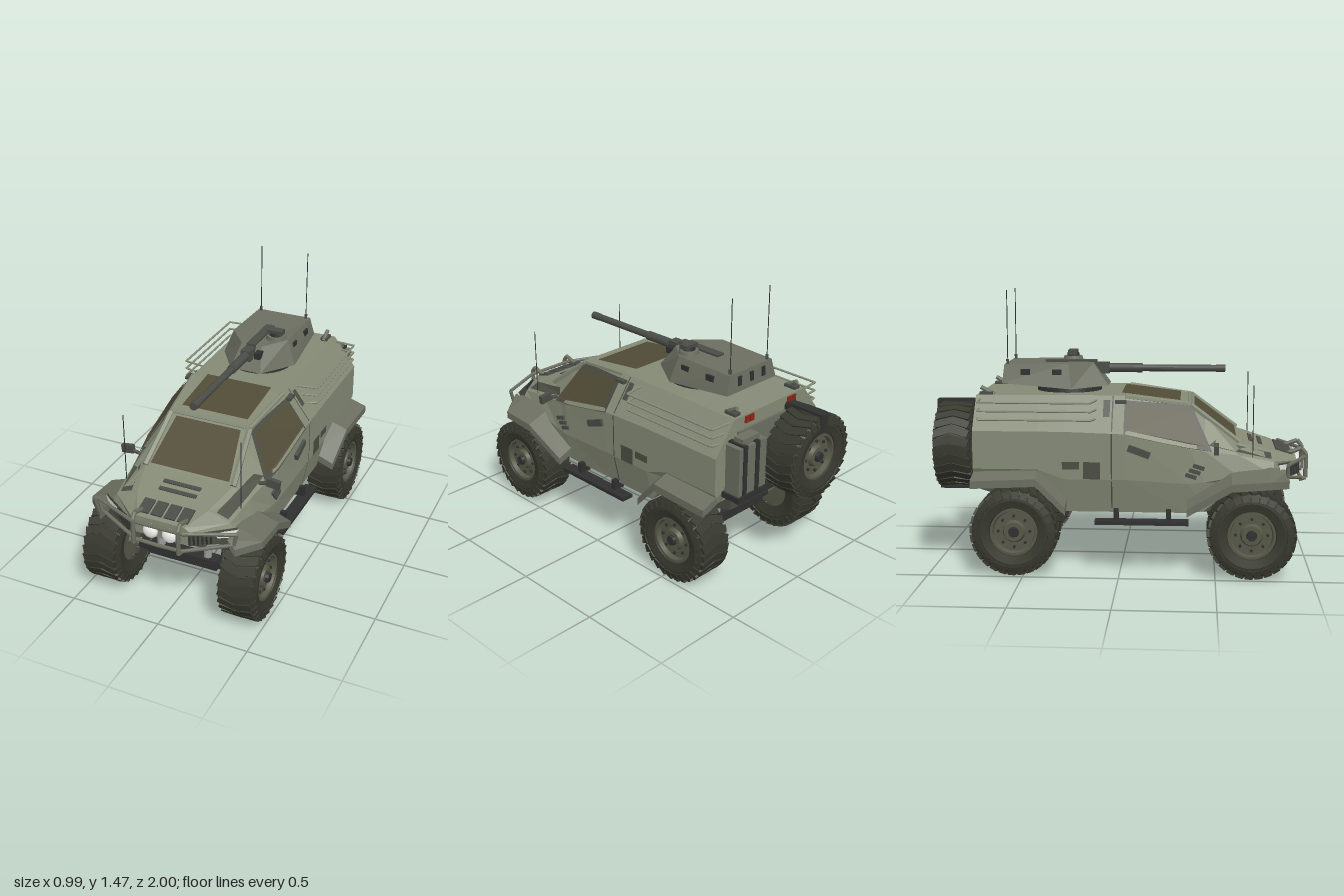
import * as THREE from 'three';

const mat = (color, side = THREE.FrontSide) => new THREE.MeshStandardMaterial({ color, side, flatShading: true });
const olive = mat(0x858a76), oliveDark = mat(0x6b6e60), steel = mat(0x4a4c47), black = mat(0x2f302f), belly = mat(0x4c4e44);
const rubber = mat(0x37382e), rimMat = mat(0x565848), silver = mat(0x9a9c98), white = mat(0xf0f0ec), red = mat(0x8c2416);
const glass = mat(0x514c37, THREE.DoubleSide), dark = mat(0x4b4d43, THREE.DoubleSide), pale = mat(0xe4e8dc, THREE.DoubleSide);

const add = (parent, name, geo, material, x = 0, y = 0, z = 0) => {
  const m = new THREE.Mesh(geo, material);
  m.name = name;
  m.position.set(x, y, z);
  parent.add(m);
  return m;
};
const box = (p, name, m, w, h, d, x, y, z) => add(p, name, new THREE.BoxGeometry(w, h, d), m, x, y, z);

// Straight rod between two points
function rod(p, name, m, a, b, r, sides = 10) {
  const A = new THREE.Vector3(...a), B = new THREE.Vector3(...b), dir = B.clone().sub(A);
  const mesh = add(p, name, new THREE.CylinderGeometry(r, r, dir.length(), sides), m);
  mesh.position.copy(A).lerp(B, 0.5);
  mesh.quaternion.setFromUnitVectors(new THREE.Vector3(0, 1, 0), dir.normalize());
}
// Chain of rods through a list of points
const chain = (p, name, m, pts, r) => pts.slice(1).forEach((b, i) => rod(p, name, m, pts[i], b, r, 8));

function soup(tris) {
  const g = new THREE.BufferGeometry();
  g.setAttribute('position', new THREE.Float32BufferAttribute(tris.flat(), 3));
  g.computeVertexNormals();
  return g;
}
// Skin through cross-sections with flat end caps
function loft(rings) {
  const t = [], n = rings[0].length, last = rings[rings.length - 1];
  for (let i = 0; i < rings.length - 1; i++) {
    for (let j = 0; j < n; j++) {
      const k = (j + 1) % n, a = rings[i][j], b = rings[i][k], c = rings[i + 1][k], d = rings[i + 1][j];
      t.push(a, b, c, a, c, d);
    }
  }
  for (let j = 1; j < n - 1; j++) t.push(last[0], last[j], last[j + 1], rings[0][0], rings[0][j + 1], rings[0][j]);
  return soup(t);
}
// Flat convex plate
const plate = (p, name, m, pts) => {
  const t = [];
  for (let j = 1; j < pts.length - 1; j++) t.push(pts[0], pts[j], pts[j + 1]);
  return add(p, name, soup(t), m);
};

// Hull sections: z, then sill, waist, shoulder and roof edge as x, y
const SECTIONS = [
  [-0.77, 0.37, 0.50, 0.40, 0.55, 0.40, 0.75, 0.27, 0.92],
  [-0.43, 0.37, 0.50, 0.40, 0.55, 0.40, 0.75, 0.27, 0.925],
  [-0.29, 0.36, 0.32, 0.40, 0.50, 0.40, 0.75, 0.27, 0.925],
  [0.03, 0.36, 0.32, 0.40, 0.50, 0.40, 0.74, 0.265, 0.925],
  [0.36, 0.36, 0.32, 0.39, 0.48, 0.385, 0.665, 0.225, 0.88],
  [0.44, 0.36, 0.33, 0.385, 0.49, 0.37, 0.65, 0.235, 0.818],
  [0.62, 0.34, 0.48, 0.37, 0.52, 0.34, 0.625, 0.25, 0.68],
  [0.80, 0.33, 0.49, 0.36, 0.53, 0.32, 0.59, 0.20, 0.63],
  [0.93, 0.14, 0.49, 0.15, 0.52, 0.16, 0.57, 0.13, 0.59],
];
function sectionAt(z) {
  let i = 0;
  while (i < SECTIONS.length - 2 && z > SECTIONS[i + 1][0]) i++;
  const a = SECTIONS[i], b = SECTIONS[i + 1], t = (z - a[0]) / (b[0] - a[0]);
  return a.map((v, k) => v + (b[k] - v) * t);
}
function hullX(z, y) {
  const s = sectionAt(z);
  let k = 1;
  while (k < 5 && y > s[k + 3]) k += 2;
  return s[k] + (s[k + 2] - s[k]) * (y - s[k + 1]) / (s[k + 3] - s[k + 1]);
}
const sidePlate = (p, name, m, pts, off = 0.006) => plate(p, name, m, pts.map(([z, y]) => [hullX(z, y) + off, y + off * 0.5, z]));
const topPlate = (p, name, m, pts, off = 0.006) => plate(p, name, m, pts.map(([x, z]) => [x, sectionAt(z)[8] + off, z]));

// Wheel with its axis along x, outer face to +x
function wheel(name) {
  const g = new THREE.Group();
  g.name = name;
  const spin = (geo) => geo.rotateZ(-Math.PI / 2);
  const lathe = (pts, n = 48) => spin(new THREE.LatheGeometry(pts.map((q) => new THREE.Vector2(...q)), n));
  add(g, 'tyre', lathe([[0.11, -0.085], [0.17, -0.1], [0.205, -0.095], [0.222, -0.075], [0.224, 0], [0.222, 0.075], [0.205, 0.095],
    [0.17, 0.1], [0.128, 0.09], [0.122, 0.06]]), rubber);
  add(g, 'rim', lathe([[0, -0.06], [0.12, -0.06], [0.124, 0.085], [0.112, 0.085], [0.106, 0.06], [0.06, 0.06], [0.05, 0.08], [0, 0.08]]), rimMat);
  add(g, 'hub', spin(new THREE.CylinderGeometry(0.025, 0.03, 0.025, 12)), black, 0.085);
  for (let i = 0; i < 8; i++) {
    const a = i * Math.PI / 4;
    add(g, 'wheelBolt', spin(new THREE.CylinderGeometry(0.008, 0.008, 0.012, 6)), black, 0.065, 0.083 * Math.cos(a), 0.083 * Math.sin(a));
  }
  // Shallow chevron tread and shoulder lugs
  for (let i = 0; i < 28; i++) {
    const turn = new THREE.Group();
    turn.name = 'treadRow';
    turn.rotation.x = i * Math.PI * 2 / 28;
    for (const s of [-1, 1]) {
      box(turn, 'treadLug', rubber, 0.098, 0.012, 0.04, s * 0.044, 0.223, 0).rotation.y = s * 0.3;
      box(turn, 'shoulderLug', rubber, 0.008, 0.035, 0.036, s * 0.096, 0.198, -0.014).rotation.z = s * 0.3;
    }
    g.add(turn);
  }
  return g;
}

// Everything that appears on both sides, built for +x
function sideParts() {
  const g = new THREE.Group();
  const fender = (path) => loft(path.map(([z, y, x = 0.485]) => [[x, y - 0.04, z], [x, y, z], [0.34, y + 0.05, z], [0.34, y + 0.01, z]]));
  add(g, 'frontFender', fender([[0.35, 0.36, 0.46], [0.58, 0.5], [0.78, 0.515], [0.88, 0.5, 0.38]]), oliveDark);
  add(g, 'rearFender', fender([[-0.77, 0.5], [-0.43, 0.515], [-0.28, 0.36, 0.46]]), oliveDark);

  // Side glass, bonnet flank and door details
  sidePlate(g, 'windowFrame', dark, [[0.02, 0.735], [0.36, 0.665], [0.48, 0.645], [0.37, 0.87], [0.02, 0.9]], 0.004);
  sidePlate(g, 'sideWindow', glass, [[0.04, 0.755], [0.36, 0.685], [0.45, 0.67], [0.36, 0.85], [0.04, 0.88]], 0.009);
  sidePlate(g, 'bonnetFlank', dark, [[0.46, 0.675], [0.62, 0.635], [0.79, 0.6], [0.79, 0.622], [0.62, 0.665], [0.5, 0.7]], 0.005);
  for (const [name, y0, y1] of [['lowerDoorSeam', 0.34, 0.49], ['middleDoorSeam', 0.5, 0.74], ['upperDoorSeam', 0.75, 0.92]]) {
    sidePlate(g, name, dark, [[-0.045, y0], [-0.038, y0], [-0.038, y1], [-0.045, y1]], 0.003);
  }
  sidePlate(g, 'sideGrille', dark, [[-0.19, 0.5], [-0.1, 0.5], [-0.1, 0.59], [-0.19, 0.59]]);
  sidePlate(g, 'fuelFlap', dark, [[-0.3, 0.55], [-0.21, 0.55], [-0.21, 0.59], [-0.3, 0.59]]);
  sidePlate(g, 'sideMarker', dark, [[-0.09, 0.82], [-0.055, 0.82], [-0.055, 0.9], [-0.09, 0.9]]);
  box(g, 'doorHandle', steel, 0.02, 0.035, 0.12, 0.404, 0.65, 0.1).rotation.x = 0.35;
  for (let i = 0; i < 3; i++) box(g, 'sideVent', steel, 0.012, 0.02, 0.06, 0.39, 0.57 - i * 0.024, 0.41 - i * 0.02).rotation.x = 0.3;

  // Side rails on the sloped panel
  for (const y of [0.81, 0.855, 0.9]) {
    const inner = hullX(-0.4, y) - 0.01;
    chain(g, 'sideRail', olive, [[inner, y, -0.13], [0.4, y, -0.15], [0.4, y, -0.74], [inner, y, -0.75]], 0.006);
  }
  // Step
  box(g, 'sideStep', black, 0.07, 0.02, 0.49, 0.39, 0.275, 0.115);
  for (const z of [0.255, -0.02]) box(g, 'stepBracket', black, 0.07, 0.06, 0.025, 0.36, 0.312, z);
  // Mirror
  box(g, 'mirror', steel, 0.07, 0.045, 0.025, 0.42, 0.672, 0.5).rotation.z = -0.12;
  rod(g, 'mirrorArm', steel, [0.34, 0.655, 0.5], [0.4, 0.668, 0.5], 0.01);
  // Slatted grille and headlight on the angled nose
  const nose = (x, y, off = 0.012) => [x, y, 0.81 + (0.36 - x) * 0.62 + off];
  plate(g, 'headlightSurround', dark, [nose(0.16, 0.5), nose(0.31, 0.5), nose(0.37, 0.59), nose(0.16, 0.57)]);
  for (let i = 0; i < 6; i++) rod(g, 'grilleSlat', black, nose(0.165 + i * 0.018, 0.505), nose(0.165 + i * 0.018, 0.57), 0.005, 6);
  plate(g, 'headlight', pale, [nose(0.285, 0.54, 0.02), nose(0.34, 0.535, 0.02), nose(0.375, 0.582, 0.02), nose(0.27, 0.572, 0.02)]);
  // Pillars and antennas
  rod(g, 'windscreenPillar', olive, [0.225, 0.87, 0.365], [0.25, 0.68, 0.62], 0.018, 6);
  rod(g, 'roofPillar', olive, [0.265, 0.918, 0.02], [0.225, 0.873, 0.365], 0.014, 6);
  rod(g, 'frontAntenna', black, [0.325, 0.58, 0.69], [0.325, 0.99, 0.69], 0.0025, 5);
  rod(g, 'rearAntennaBase', steel, [0.14, 1.07, -0.62], [0.14, 1.1, -0.62], 0.008, 8);
  rod(g, 'rearAntenna', black, [0.14, 1.09, -0.62], [0.14, 1.47, -0.62], 0.0025, 5);
  // Bull bar half
  chain(g, 'bullBar', oliveDark, [[0, 0.585, 0.975], [0.14, 0.585, 0.975], [0.385, 0.585, 0.87], [0.37, 0.52, 0.87], [0.13, 0.47, 0.96], [0, 0.465, 0.96]], 0.01);
  chain(g, 'bullBarPost', oliveDark, [[0.125, 0.46, 0.95], [0.125, 0.47, 0.985], [0.125, 0.6, 0.985], [0.125, 0.63, 0.96], [0.125, 0.6, 0.88]], 0.012);
  add(g, 'spotLamp', new THREE.SphereGeometry(0.04, 20, 12), white, 0.053, 0.527, 0.94).scale.z = 0.6;
  // Axle halves and shock absorbers
  for (const z of [0.685, -0.545]) {
    rod(g, 'axleShaft', oliveDark, [0.2, 0.23, z], [0.34, 0.23, z], 0.018);
    rod(g, 'shockLower', silver, [0.135, 0.25, z], [0.14, 0.38, z], 0.022);
    rod(g, 'shockUpper', steel, [0.14, 0.36, z], [0.145, 0.5, z], 0.03);
    rod(g, 'suspensionArm', black, [0.22, 0.23, z], [0.15, 0.34, z - Math.sign(z) * 0.2], 0.014);
    box(g, 'axleEnd', black, 0.07, 0.035, 0.05, 0.225, 0.232, z);
  }
  // Tail lights, roof hinges and catches
  for (const x of [0.145, 0.18]) box(g, 'tailLight', red, 0.028, 0.035, 0.014, x, 0.895, -0.772);
  box(g, 'roofHinge', steel, 0.04, 0.016, 0.07, 0.23, 0.928, -0.72);
  rod(g, 'hingeHook', oliveDark, [0.23, 0.92, -0.68], [0.23, 0.96, -0.75], 0.012, 8);
  box(g, 'roofCatch', steel, 0.03, 0.016, 0.06, 0.3, 0.895, 0.0);
  return g;
}

export function createModel() {
  const model = new THREE.Group();
  model.name = 'armouredScoutCar';

  // Hull and underside tub
  add(model, 'hull', loft(SECTIONS.map(([z, ...p]) => {
    const r = [0, 2, 4, 6].map((k) => [p[k], p[k + 1], z]);
    return [...r, ...r.slice().reverse().map(([x, y]) => [-x, y, z])];
  })), olive);
  add(model, 'underside', loft([[-0.77, 0.42], [-0.4, 0.31], [0.45, 0.31], [0.72, 0.38], [0.83, 0.47]].map(([z, y]) =>
    [[0.28, y, z], [0.28, 0.53, z], [-0.28, 0.53, z], [-0.28, y, z]])), belly);

  // Windscreen, glass roof and bonnet details
  topPlate(model, 'windscreen', glass, [[-0.225, 0.61], [0.225, 0.61], [0.185, 0.385], [-0.185, 0.385]]);
  topPlate(model, 'glassRoof', glass, [[-0.19, 0.31], [0.19, 0.31], [0.19, 0.0], [-0.19, 0.0]]);
  rod(model, 'windscreenHeader', olive, [-0.225, 0.875, 0.36], [0.225, 0.875, 0.36], 0.013, 6);
  for (const x of [-0.11, -0.037, 0.037, 0.11]) box(model, 'bonnetVent', steel, 0.06, 0.012, 0.09, x, 0.613, 0.865).rotation.x = 0.3;
  for (const z of [0.69, 0.74]) box(model, 'bonnetSlot', steel, 0.21, 0.012, 0.022, 0, sectionAt(z)[8], z).rotation.x = 0.27;

  // Both sides
  const left = sideParts(), right = sideParts();
  left.name = 'leftSide';
  right.name = 'rightSide';
  right.scale.x = -1;
  model.add(left, right);

  // Wheels and axle beams
  for (const [label, z] of [['front', 0.685], ['rear', -0.548]]) {
    for (const s of [1, -1]) {
      const w = wheel(label + (s > 0 ? 'LeftWheel' : 'RightWheel'));
      w.position.set(s * 0.388, 0.23, z);
      if (s < 0) w.rotation.y = Math.PI;
      model.add(w);
    }
    box(model, label + 'AxleBeam', black, 0.4, 0.055, 0.07, 0, 0.232, z);
    box(model, label + 'CrossMember', belly, 0.32, 0.035, 0.06, 0, 0.39, z + 0.06);
  }

  // Turret
  const turret = new THREE.Group();
  turret.name = 'turret';
  model.add(turret);
  const ring = (pts) => [...pts, ...pts.slice().reverse().map(([x, y, z]) => [-x, y, z])];
  add(turret, 'turretRing', new THREE.CylinderGeometry(0.17, 0.18, 0.05, 32), black, 0, 0.94, -0.3);
  add(turret, 'turretBody', loft([ring([[0.09, 0.955, -0.08], [0.215, 0.948, -0.27], [0.185, 0.975, -0.645]]),
    ring([[0.06, 1.075, -0.165], [0.165, 1.082, -0.29], [0.16, 1.075, -0.635]])]), oliveDark);
  box(turret, 'mantlet', steel, 0.056, 0.06, 0.1, 0, 1.043, -0.13);
  box(turret, 'gunRidge', steel, 0.05, 0.012, 0.28, 0, 1.08, -0.29);
  rod(turret, 'gunSleeve', steel, [0, 1.043, -0.2], [0, 1.043, 0.1], 0.025, 20);
  rod(turret, 'gunBarrel', steel, [0, 1.043, 0.1], [0, 1.043, 0.5], 0.019, 20);
  rod(turret, 'gunMuzzle', steel, [0, 1.043, 0.5], [0, 1.043, 0.55], 0.021, 20);
  add(turret, 'sightRing', new THREE.CylinderGeometry(0.05, 0.055, 0.02, 20), oliveDark, 0.092, 1.09, -0.29);
  add(turret, 'sightPost', new THREE.CylinderGeometry(0.032, 0.036, 0.02, 16), black, 0.092, 1.107, -0.29);
  box(turret, 'sightHead', steel, 0.085, 0.026, 0.05, 0.092, 1.12, -0.29);
  box(turret, 'frontOptic', black, 0.035, 0.035, 0.05, 0.057, 1.04, -0.13);
  for (const s of [1, -1]) for (const z of [-0.35, -0.52]) box(turret, 'sidePort', black, 0.02, 0.03, 0.05, s * 0.175, 1.035, z);
  for (const x of [-0.09, 0, 0.09]) box(turret, 'rearPort', black, 0.025, 0.05, 0.012, x, 1.03, -0.639);

  // Rear door, spare wheel and its carrier
  box(model, 'rearDoor', oliveDark, 0.5, 0.32, 0.02, 0, 0.69, -0.773);
  const spare = wheel('spareWheel');
  spare.rotation.y = Math.PI / 2;
  spare.position.set(-0.15, 0.64, -0.892);
  model.add(spare);
  for (const y of [0.88, 0.402]) box(model, 'spareStrap', black, 0.05, 0.014, 0.23, -0.15, y, -0.88);
  box(model, 'spareStrapEnd', black, 0.05, 0.07, 0.012, -0.15, 0.85, -0.994);
  box(model, 'spareCarrier', black, 0.07, 0.48, 0.03, -0.15, 0.64, -0.785);
  box(model, 'rearBumper', black, 0.5, 0.05, 0.05, 0, 0.47, -0.77);

  // Fuel can in its rack
  box(model, 'fuelCan', oliveDark, 0.2, 0.27, 0.09, 0.24, 0.68, -0.825);
  box(model, 'canNeck', oliveDark, 0.12, 0.04, 0.06, 0.24, 0.83, -0.825);
  for (const x of [0.21, 0.3]) box(model, 'canStrap', black, 0.025, 0.29, 0.105, x, 0.68, -0.825);
  box(model, 'canRack', black, 0.22, 0.03, 0.11, 0.24, 0.54, -0.825);
  return model;
}
